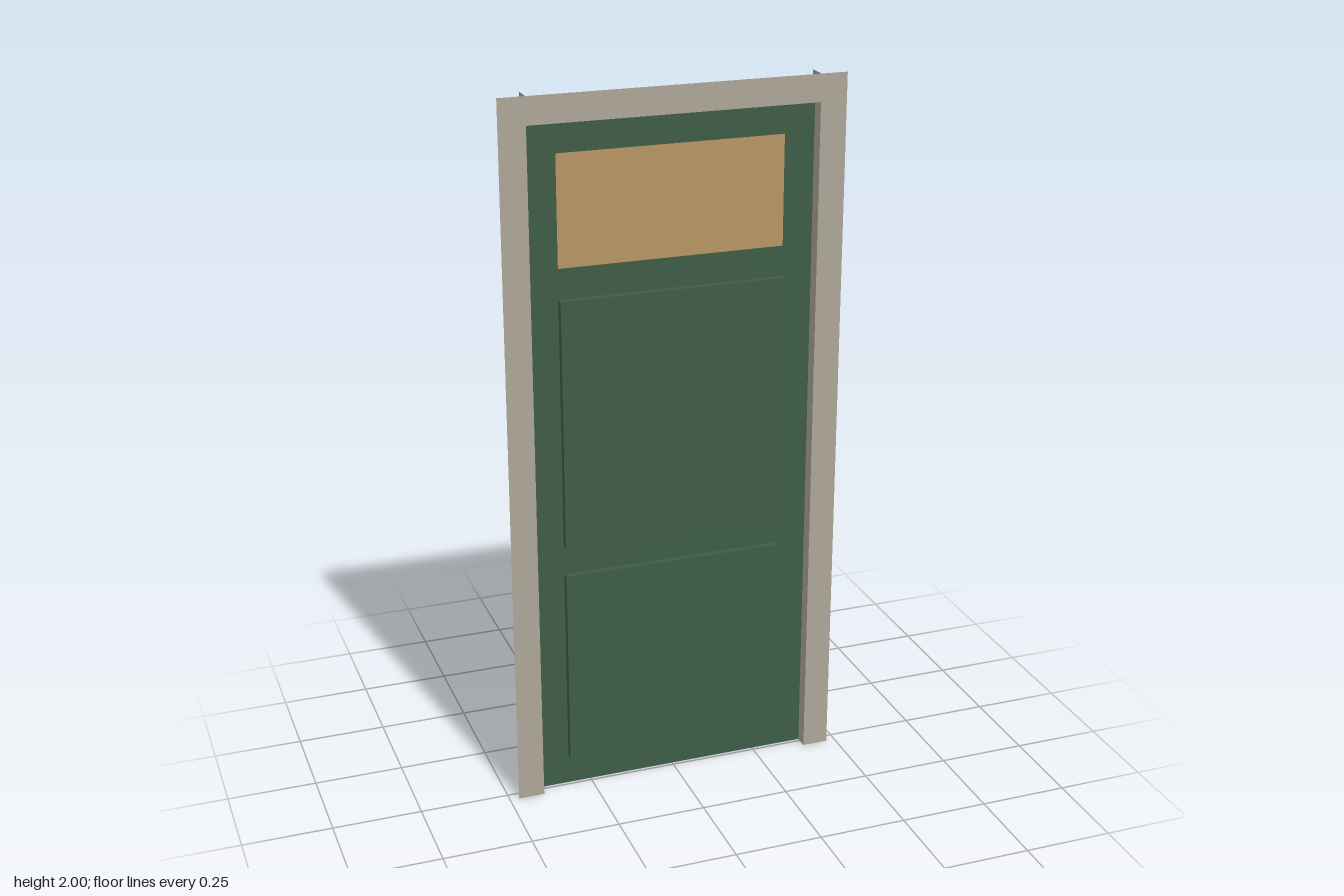
import * as THREE from 'three';

const W = 0.4, HEAD = 1.925, OUT = 0.474, TOP = 2, FRONT = 0.028, DOOR_Z = -0.01;

const material = (color) => new THREE.MeshStandardMaterial({ color, side: THREE.DoubleSide });

export function createModel() {
  const model = new THREE.Group();
  model.name = 'door';
  const stone = material(0xaca598), green = material(0x3d5c45), amber = material(0xb89463);

  const add = (name, geometry, mat, x, y, z) => {
    const mesh = new THREE.Mesh(geometry, mat);
    mesh.name = name;
    mesh.position.set(x, y, z);
    model.add(mesh);
    return mesh;
  };

  // Flat casing around the opening
  const casing = new THREE.Shape([
    [-OUT, 0], [-W, 0], [-W, HEAD], [W, HEAD], [W, 0], [OUT, 0], [OUT, TOP], [-OUT, TOP],
  ].map(([x, y]) => new THREE.Vector2(x, y)));
  add('casing', new THREE.ShapeGeometry(casing), stone, 0, 0, FRONT);

  // Thin jambs and head lining running back from the casing
  for (const side of [-1, 1]) {
    const jamb = add(side > 0 ? 'leftJamb' : 'rightJamb',
      new THREE.PlaneGeometry(FRONT * 2, TOP), stone, side * W, TOP / 2, 0);
    jamb.rotation.y = side * Math.PI / 2;
  }
  add('headLining', new THREE.PlaneGeometry(W * 2, FRONT * 2), stone, 0, HEAD, 0).rotation.x = -Math.PI / 2;

  // Door leaf
  add('doorLeaf', new THREE.PlaneGeometry(W * 2, HEAD), green, 0, HEAD / 2, DOOR_Z);

  // Raised panels
  const depth = 0.02;
  for (const [name, y0, y1] of [['lowerPanel', 0.09, 0.66], ['upperPanel', 0.745, 1.45]]) {
    add(name, new THREE.BoxGeometry(0.63, y1 - y0, depth), green, 0, (y0 + y1) / 2, DOOR_Z + depth / 2 + 0.0005);
  }

  // Window pane, just proud of the leaf
  add('windowPane', new THREE.PlaneGeometry(0.63, 0.305), amber, 0, 1.6875, DOOR_Z + 0.002);

  return model;
}
